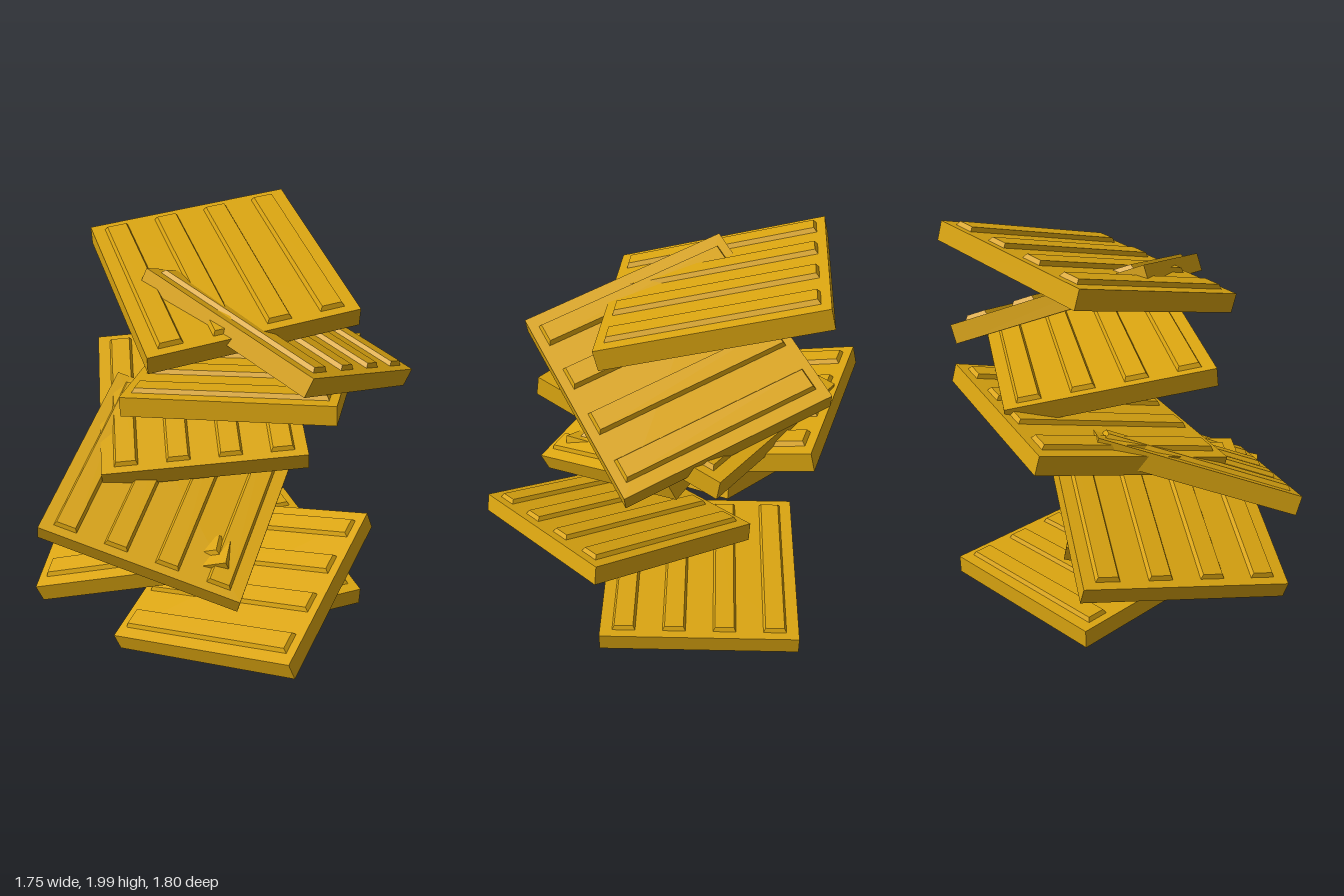
import * as THREE from 'three';

const SIDE = 1.015, THICK = 0.095;
const BAR = { length: 0.93, width: 0.118, height: 0.021, bevel: 0.011, pitch: 0.257 };

// Each tile: three corners of its top face; the bars run from the first to the second.
const TILES = [
  { name: 'tile1', at: [[-0.01, 0.1, -0.9], [-0.635, 0.125, -0.105], [0.78, 0.1, -0.265]] },
  { name: 'tile2', at: [[-0.125, 0.12, 0.725], [0.85, 0.395, 0.71], [-0.2, 0.32, -0.265]] },
  { name: 'tile3', at: [[-0.86, 0.515, -0.07], [0.04, 0.83, -0.38], [-0.475, 0.385, 0.865]] },
  { name: 'tile4', at: [[-0.405, 0.82, 0.885], [-0.585, 1.153, -0.035], [0.55, 0.57, 0.635]] },
  { name: 'tile5', at: [[-0.865, 1.19, -0.25], [-0.278, 0.94, 0.55], [-0.047, 1.26, -0.84]] },
  { name: 'tile6', at: [[-0.2, 1.365, 0.475], [0.745, 1.447, 0.16], [-0.505, 1.235, -0.485]] },
  { name: 'tile7', at: [[-0.265, 1.87, 0.125], [0.707, 1.652, 0.315], [-0.16, 1.51, -0.805]] },
  { name: 'tile8', at: [[-0.09, 2.0, -0.85], [0.675, 1.755, -0.21], [-0.74, 1.905, -0.085]] },
];

// Raised bar with sloping sides: a box whose upper corners are drawn inwards
function barGeometry() {
  const geo = new THREE.BoxGeometry(BAR.length, BAR.height, BAR.width).toNonIndexed();
  geo.translate(0, BAR.height / 2, 0);
  const p = geo.attributes.position;
  for (let i = 0; i < p.count; i++) {
    if (p.getY(i) < BAR.height / 2) continue;
    p.setX(i, p.getX(i) - Math.sign(p.getX(i)) * BAR.bevel);
    p.setZ(i, p.getZ(i) - Math.sign(p.getZ(i)) * BAR.bevel);
  }
  geo.computeVertexNormals();
  return geo;
}

// Position and rotation of a tile from three corners of its top face
function placement(corners) {
  const [a, b, c] = corners.map((v) => new THREE.Vector3(...v));
  const u = b.clone().sub(a).normalize();
  const w = c.clone().sub(a);
  w.addScaledVector(u, -w.dot(u)).normalize();
  const n = w.clone().cross(u);
  if (n.y < 0) {
    n.negate();
    w.negate();
  }
  return new THREE.Matrix4().makeBasis(u, n, w).setPosition(b.add(c).multiplyScalar(0.5));
}

export function createModel() {
  const model = new THREE.Group();
  model.name = 'pavingTilePile';
  const yellow = new THREE.MeshStandardMaterial({ color: 0xdba510 });
  yellow.name = 'goldenYellow';

  const slabGeo = new THREE.BoxGeometry(SIDE, THICK, SIDE).translate(0, -THICK / 2, 0);
  const barGeo = barGeometry();

  for (const { name, at } of TILES) {
    const tile = new THREE.Group();
    tile.name = name;
    const slab = new THREE.Mesh(slabGeo, yellow);
    slab.name = 'slab';
    tile.add(slab);
    // Four guide bars across the top
    for (let i = 0; i < 4; i++) {
      const bar = new THREE.Mesh(barGeo, yellow);
      bar.name = 'guideBar';
      bar.position.z = (i - 1.5) * BAR.pitch;
      tile.add(bar);
    }
    tile.applyMatrix4(placement(at));
    model.add(tile);
  }
  return model;
}
